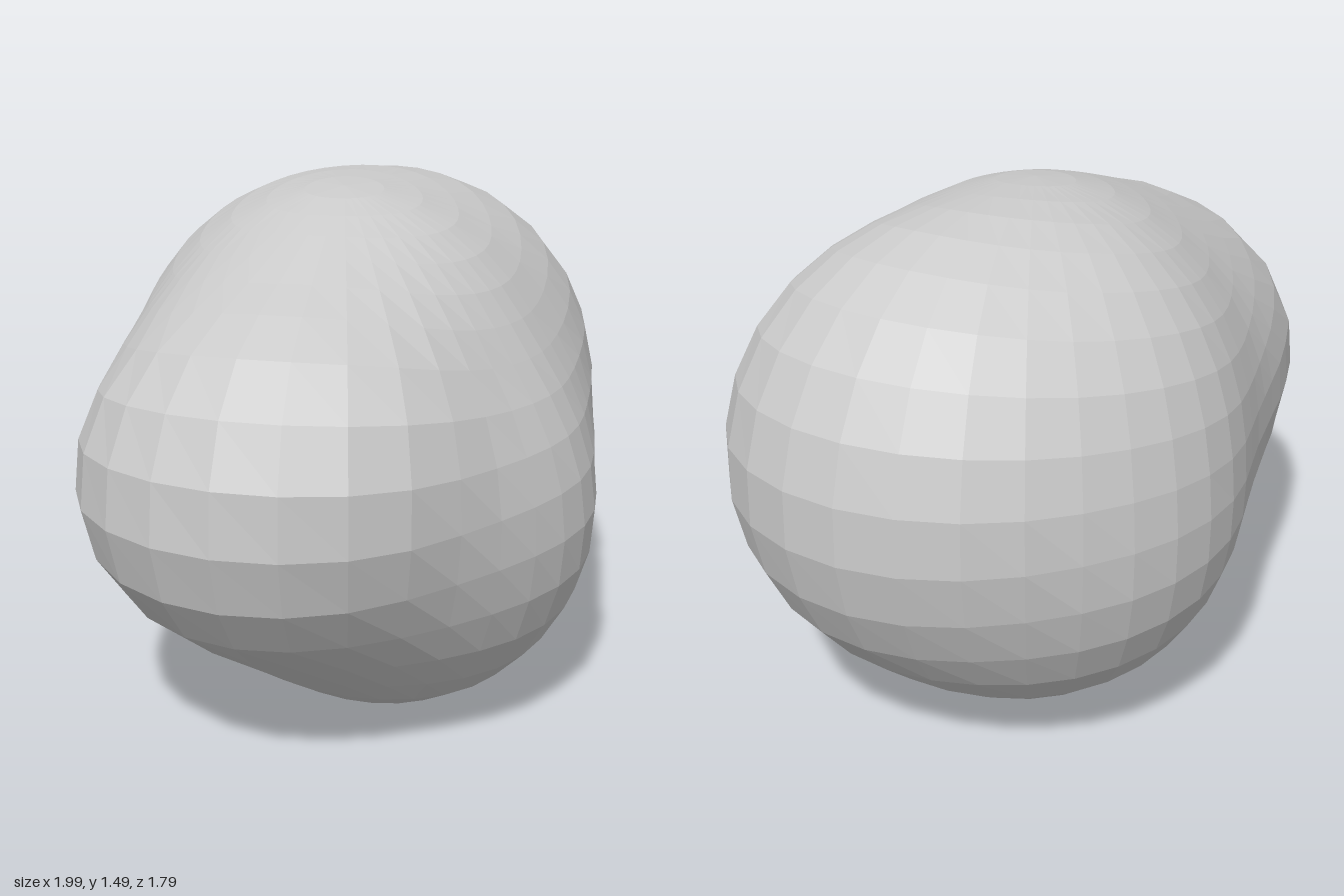
import * as THREE from 'three';

// Lobes of the boulder: centre x, y, z, then horizontal and vertical radius
const LOBES = [
  [0.36, 0.82, -0.23, 0.64, 0.65], // upper back left
  [0.15, 0.85, -0.21, 0.64, 0.635], // upper back
  [0.0, 0.85, 0.0, 0.62, 0.63], // middle
  [-0.42, 0.78, 0.305, 0.58, 0.5], // front right
  [-0.45, 0.88, 0.41, 0.47, 0.4], // front right shoulder
  [-0.02, 0.6, 0.25, 0.6, 0.59], // lower front
  [0.16, 0.66, -0.25, 0.63, 0.61], // lower back
];
const BLEND = 0.012;
const CENTRE = new THREE.Vector3(0, 0.75, 0);

// In-between lobes that fill the hollows between each pair
const blobs = [...LOBES];
LOBES.forEach((a, i) => {
  for (const b of LOBES.slice(i + 1)) {
    for (const t of [0.25, 0.5, 0.75]) blobs.push(a.map((v, k) => v + (b[k] - v) * t));
  }
});

// Smoothly blended field, positive inside
function field(p) {
  let sum = 0;
  for (const [cx, cy, cz, r, ry] of blobs) {
    const d = r * (1 - Math.hypot((p.x - cx) / r, (p.y - cy) / ry, (p.z - cz) / r));
    sum += Math.exp(d / BLEND);
  }
  return BLEND * Math.log(sum);
}

// Point where a ray from the centre meets the surface
function surfacePoint(direction) {
  const p = new THREE.Vector3();
  let near = 0.3;
  let far = 1.5;
  for (let i = 0; i < 24; i++) {
    const m = (near + far) / 2;
    p.copy(CENTRE).addScaledVector(direction, m);
    if (field(p) > 0) near = m;
    else far = m;
  }
  return p;
}

export function createModel() {
  const group = new THREE.Group();

  // Push each vertex of a sphere out to the blended surface
  const sphere = new THREE.SphereGeometry(1, 40, 20);
  const pos = sphere.attributes.position;
  const direction = new THREE.Vector3();
  for (let i = 0; i < pos.count; i++) {
    direction.fromBufferAttribute(pos, i);
    const p = surfacePoint(direction);
    pos.setXYZ(i, p.x, p.y, p.z);
  }

  const geometry = sphere.toNonIndexed();
  geometry.computeVertexNormals();
  const material = new THREE.MeshStandardMaterial({ color: 0xcccccc, flatShading: true });
  const body = new THREE.Mesh(geometry, material);
  body.name = 'boulder';
  group.add(body);
  return group;
}
